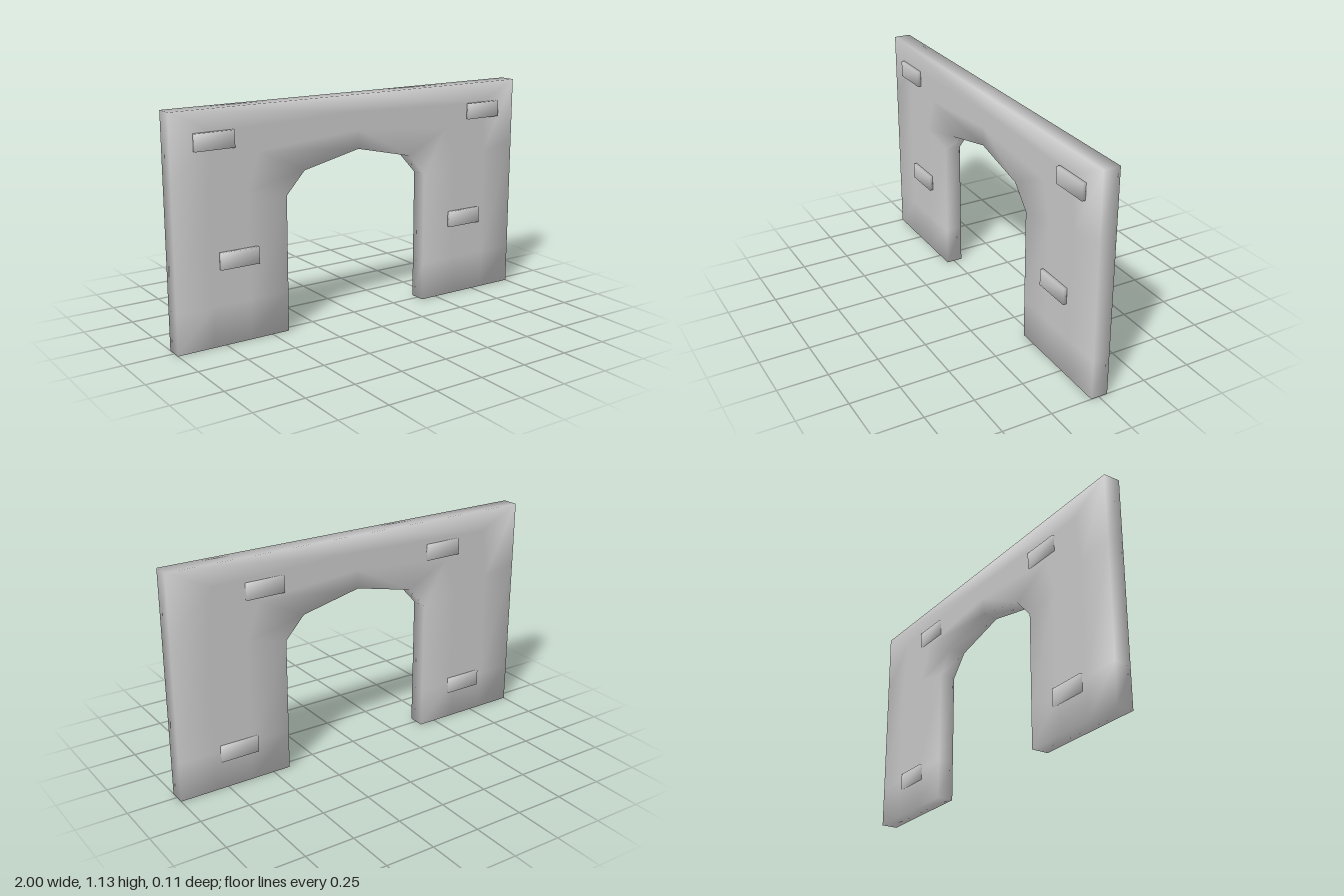
import * as THREE from 'three';
import { mergeVertices } from 'three/addons/utils/BufferGeometryUtils.js';

const FRONT = 0.04, BACK = -0.045;

// Flat slab swept as a strip: each station is [innerX, innerY, outerX, outerY]
function archGeometry() {
  const half = [
    [0.41, 0, 1, 0],
    [0.41, 0.2, 1, 0.2],
    [0.41, 0.68, 1, 0.8],
    [0.31, 0.79, 1, 1.13],
  ];
  const mirrored = half.map(([a, b, c, d]) => [-a, b, -c, d]).reverse();
  const stations = [...half, [0, 0.86, 0, 1.13], ...mirrored];
  const steps = [0, 0.35, 0.68, 1];
  const n = steps.length, ring = n * 2;
  const positions = [], indices = [];

  // Closed ring per station: front from inner to outer, then back again
  for (const [ix, iy, ox, oy] of stations) {
    const put = (t, z) => positions.push(ix + (ox - ix) * t, iy + (oy - iy) * t, z);
    steps.forEach((t) => put(t, FRONT));
    [...steps].reverse().forEach((t) => put(t, BACK));
  }
  const quad = (a, b, c, d) => indices.push(a, b, c, a, c, d);
  for (let s = 0; s < stations.length - 1; s++) {
    for (let k = 0; k < ring; k++) {
      const a = s * ring + k, b = s * ring + (k + 1) % ring;
      quad(a, b, b + ring, a + ring);
    }
  }
  // Soles of the two legs
  const last = (stations.length - 1) * ring;
  for (let k = 0; k < n - 1; k++) {
    const m = ring - 1 - k;
    quad(k, m, m - 1, k + 1);
    quad(last + k, last + k + 1, last + m - 1, last + m);
  }
  const geometry = new THREE.BufferGeometry();
  geometry.setAttribute('position', new THREE.Float32BufferAttribute(positions, 3));
  geometry.setIndex(indices);
  geometry.computeVertexNormals();
  return geometry;
}

// Box with shared corners so that its shading runs smoothly over the edges
function softBox(w, h, d) {
  const box = new THREE.BoxGeometry(w, h, d);
  box.deleteAttribute('normal');
  box.deleteAttribute('uv');
  const geometry = mergeVertices(box);
  geometry.computeVertexNormals();
  return geometry;
}

export function createModel() {
  const group = new THREE.Group();
  group.name = 'archedWall';
  const material = new THREE.MeshStandardMaterial({ color: 0xcccccc });

  const add = (name, geometry, x = 0, y = 0, z = 0) => {
    const mesh = new THREE.Mesh(geometry, material);
    mesh.name = name;
    mesh.position.set(x, y, z);
    group.add(mesh);
  };

  add('archPanel', archGeometry());

  // Raised stones: two pairs on each face
  const frontStone = softBox(0.2, 0.082, 0.03);
  const backStone = softBox(0.2, 0.084, 0.03);
  for (const side of [1, -1]) {
    const label = side > 0 ? 'Left' : 'Right';
    add(`frontUpperStone${label}`, frontStone, side * 0.785, 0.985, 0.043);
    add(`frontLowerStone${label}`, frontStone, side * 0.673, 0.418, 0.043);
    add(`backUpperStone${label}`, backStone, side * 0.516, 0.968, -0.04);
    add(`backLowerStone${label}`, backStone, side * 0.683, 0.187, -0.04);
  }
  return group;
}
